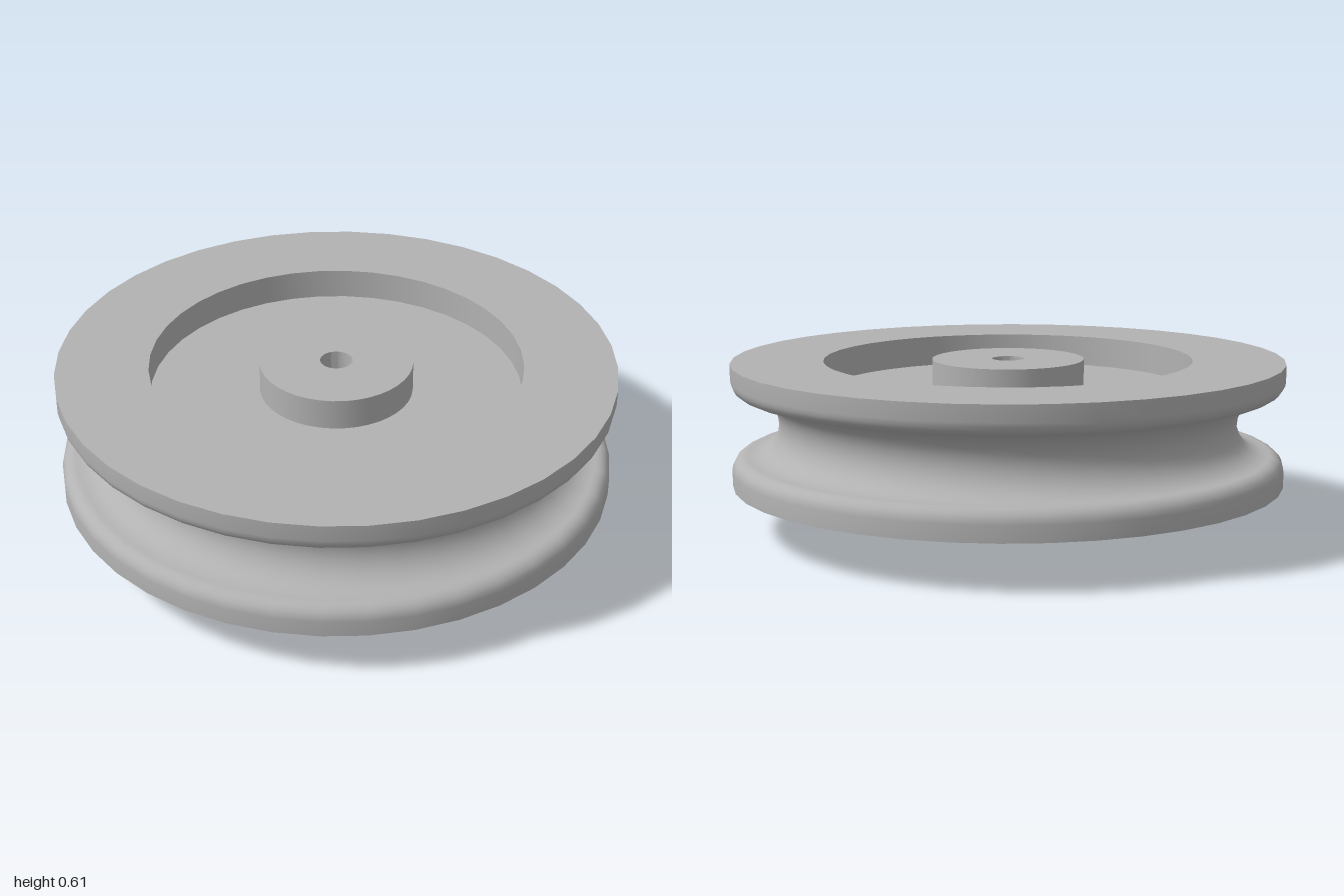
import * as THREE from 'three';
import { toCreasedNormals } from 'three/addons/utils/BufferGeometryUtils.js';

const SIDES = 40;
const BOTTOM = 0.172, TOP = 0.614, MID = (BOTTOM + TOP) / 2;

// Points [radius, y] along a circular arc, angles in degrees
function arc(cx, cy, r, from, to, steps) {
  return Array.from({ length: steps + 1 }, (_, i) => {
    const a = THREE.MathUtils.degToRad(from + (to - from) * i / steps);
    return [cx + r * Math.cos(a), cy + r * Math.sin(a)];
  });
}

// Closed ring turned from a counter-clockwise section
function turned(name, section, material) {
  const points = [...section, section[0]].map(([r, y]) => new THREE.Vector2(r, y));
  const geometry = toCreasedNormals(new THREE.LatheGeometry(points, SIDES), 0.6);
  const mesh = new THREE.Mesh(geometry, material);
  mesh.name = name;
  return mesh;
}

export function createModel() {
  const group = new THREE.Group();
  group.name = 'grooved pulley wheel';
  const grey = new THREE.MeshStandardMaterial({ color: 0xb2b2b2 });
  grey.name = 'plain grey';

  // Rim: two flanges with rounded lips around a half-round rope groove
  const groove = 0.113, lip = 0.05;
  group.add(turned('rim', [
    [0.668, BOTTOM],
    [1, BOTTOM],
    ...arc(1 - lip, MID - groove - lip, lip, 0, 90, 5),
    ...arc(0.943, MID, groove, 270, 90, 14),
    ...arc(1 - lip, MID + groove + lip, lip, 270, 360, 5),
    [1, TOP],
    [0.668, TOP],
  ], grey));

  // Web: recessed disc joining the rim to the hub
  group.add(turned('web', [
    [0.2, 0.282], [0.69, 0.282], [0.69, 0.502], [0.2, 0.502],
  ], grey));

  // Hub: flush on top, standing out below, with a countersunk stepped bore
  group.add(turned('hub', [
    [0.143, 0], [0.268, 0], [0.275, 0.007], [0.275, TOP], [0.058, TOP],
    [0.058, 0.5], [0.112, 0.5], [0.112, 0.031],
  ], grey));

  return group;
}
